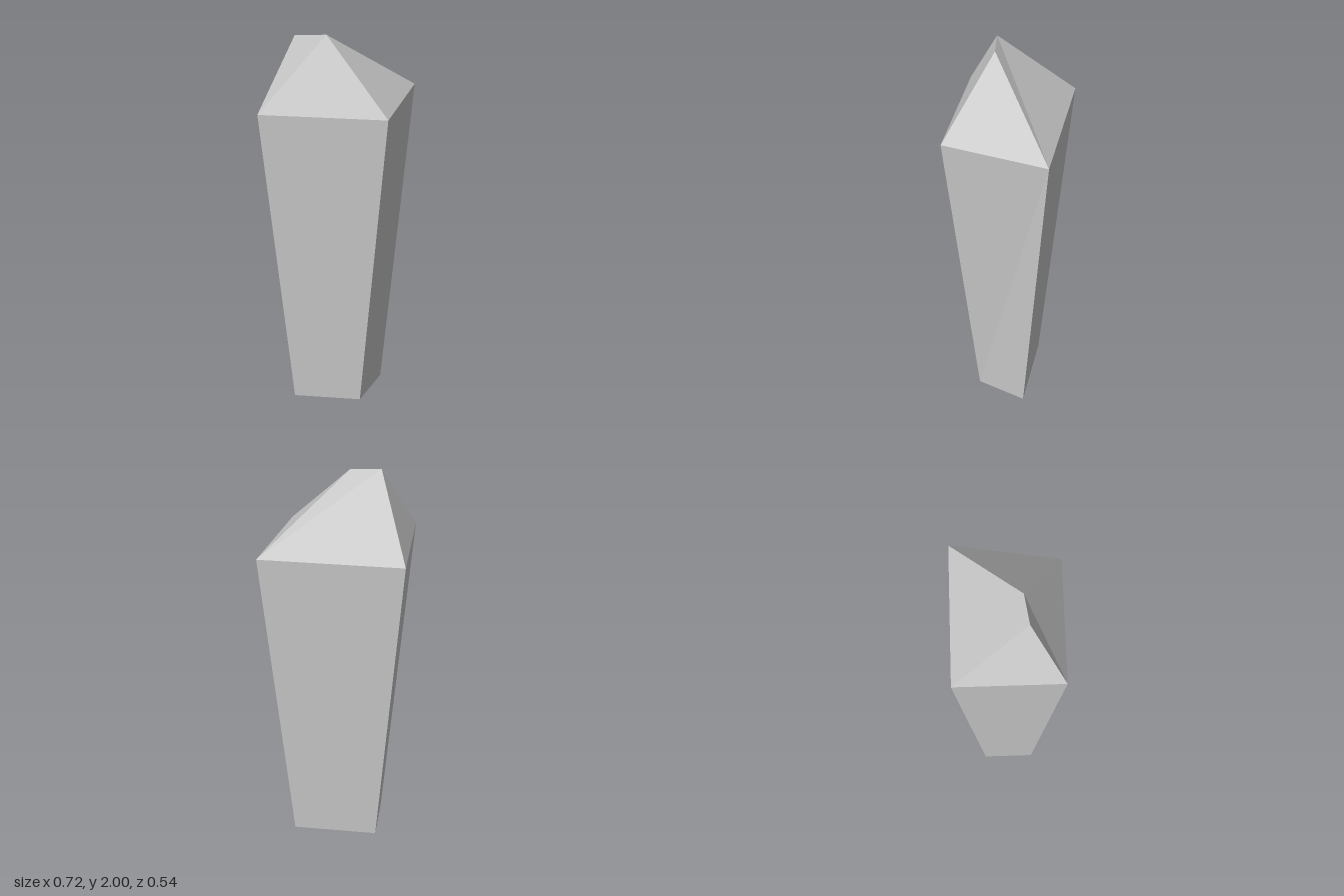
import * as THREE from 'three';

// Four-cornered cross-sections, counterclockwise from above, starting front at -x
const foot = [[-0.22, 0, 0.13], [0.13, 0, 0.13], [0.215, 0, -0.13], [-0.22, 0, -0.13]];
const shoulder = [[-0.36, 1.65, 0.268], [0.27, 1.65, 0.268], [0.357, 1.65, -0.27], [-0.36, 1.65, -0.27]];
const ridgeStart = [-0.2, 2, 0.095];
const ridgeEnd = [-0.05, 2, 0.073];
const ridge = [ridgeStart, ridgeEnd, ridgeEnd, ridgeStart];

// Walls between two sections; where the upper edge shrinks to a point, one triangle is enough
function walls(lower, upper) {
  const out = [];
  for (let i = 0; i < 4; i++) {
    const j = (i + 1) % 4;
    out.push(lower[i], lower[j], upper[j]);
    if (upper[i] !== upper[j]) out.push(lower[i], upper[j], upper[i]);
  }
  return out;
}

function facetedMesh(name, corners) {
  const geometry = new THREE.BufferGeometry();
  geometry.setAttribute('position', new THREE.Float32BufferAttribute(corners.flat(), 3));
  geometry.computeVertexNormals();
  const material = new THREE.MeshStandardMaterial({ color: 0xcccccc, flatShading: true });
  const mesh = new THREE.Mesh(geometry, material);
  mesh.name = name;
  return mesh;
}

export function createModel() {
  const model = new THREE.Group();
  model.name = 'crystal';

  // Tapered shaft with a closed underside
  const underside = [0, 2, 1, 0, 3, 2].map((i) => foot[i]);
  model.add(facetedMesh('shaft', [...walls(foot, shoulder), ...underside]));

  // Off-centre tip closing to a short ridge
  model.add(facetedMesh('tip', walls(shoulder, ridge)));

  return model;
}
